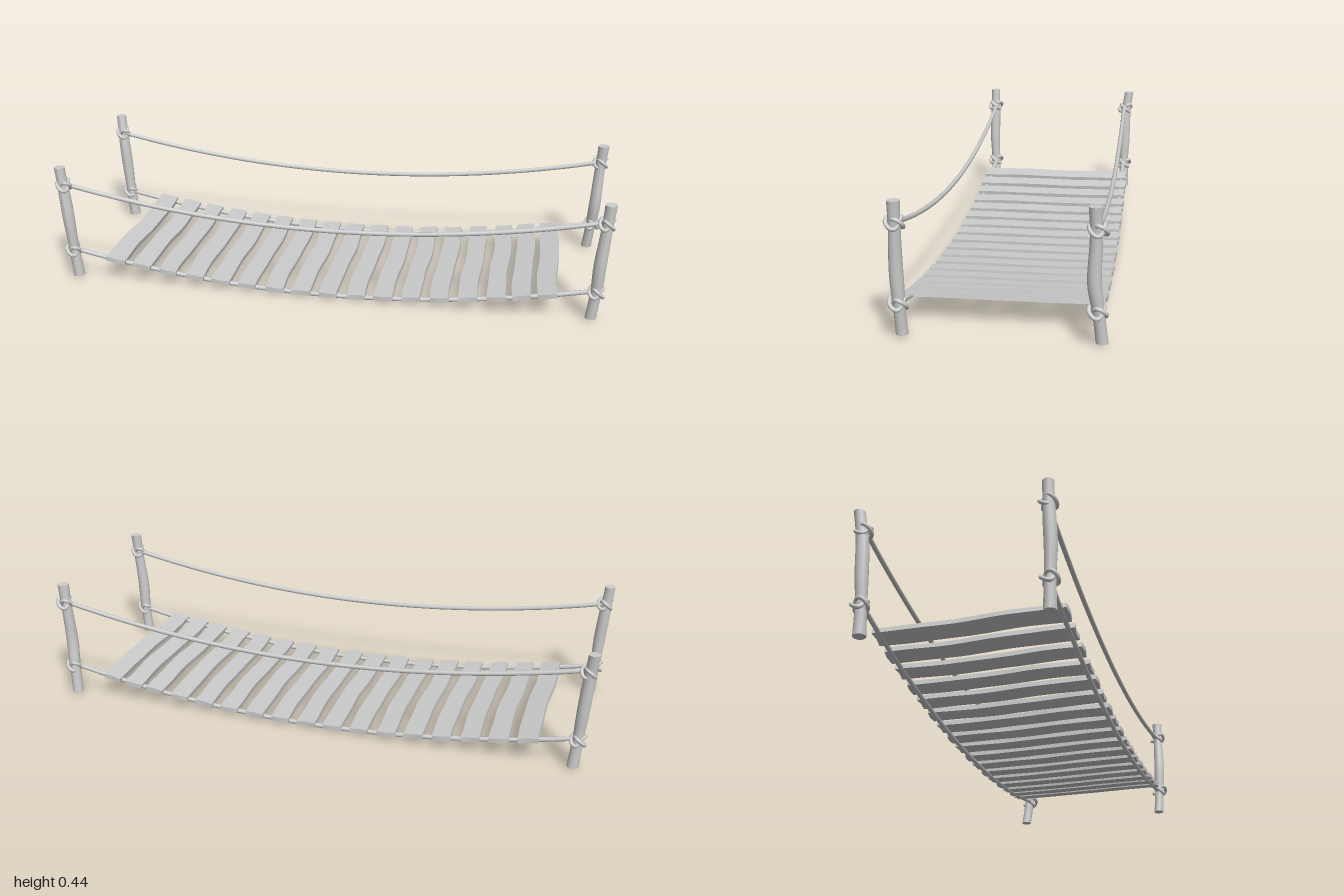
import * as THREE from 'three';

const mat = new THREE.MeshStandardMaterial({ color: 0xcccccc });
const ROPE_Z = 0.295;
const END_X = 0.962;

function add(parent, name, geometry) {
  const mesh = new THREE.Mesh(geometry, mat);
  mesh.name = name;
  parent.add(mesh);
  return mesh;
}

// Height of a sagging rope at x
const sag = (x, low) => low + 0.107 * (x / END_X) ** 2;

// Gnarled post: a cylinder bent along a curve through [x, y, z] points
function postGeometry(points) {
  const curve = new THREE.CatmullRomCurve3(points.map(p => new THREE.Vector3(...p)));
  const geo = new THREE.CylinderGeometry(1, 1, 1, 14, 16);
  const pos = geo.attributes.position;
  for (let i = 0; i < pos.count; i++) {
    const t = THREE.MathUtils.clamp(pos.getY(i) + 0.5, 0, 1);
    const c = curve.getPoint(t);
    const r = 0.0205 + 0.0015 * Math.sin(t * 9 + points[0][0] * 4);
    pos.setXYZ(i, c.x + pos.getX(i) * r, c.y, c.z + pos.getZ(i) * r);
  }
  geo.computeVertexNormals();
  return geo;
}

// Hitch: one cord going twice round the post, crossing itself
class Hitch extends THREE.Curve {
  getPoint(t, target = new THREE.Vector3()) {
    const a = t * Math.PI * 2;
    const r = 0.0215 + 0.0065 * Math.cos(3 * a);
    return target.set(0.9 * r * Math.cos(2 * a), 0.016 * Math.sin(3 * a), r * Math.sin(2 * a));
  }
}

// Rough-sawn plank with wavy long edges and slightly chipped ends
function plankGeometry(width, seed) {
  const geo = new THREE.BoxGeometry(width, 0.017, 0.632, 2, 1, 14);
  const pos = geo.attributes.position;
  for (let i = 0; i < pos.count; i++) {
    const x = pos.getX(i), z = pos.getZ(i);
    const side = Math.sign(x);
    const bend = 0.004 * Math.sin(z * 11 + 2.6 + 0.25 * Math.sin(seed * 2.3));
    const edge = side * 0.0015 * Math.sin(z * 24 + seed * 1.9 + side);
    const chip = Math.abs(z) > 0.31 ? 0.003 * Math.sin(seed * 3.1 + side * 2 + z * 5) : 0;
    pos.setXYZ(i, x + bend + edge, pos.getY(i), z + Math.sign(z) * chip);
  }
  geo.computeVertexNormals();
  return geo;
}

export function createModel() {
  const group = new THREE.Group();
  group.name = 'ropeBridge';

  // Four leaning posts, bottom to top
  const posts = {
    frontLeftPost: [[0.94, 0.008, 0.294], [0.951, 0.12, 0.299], [0.955, 0.22, 0.303], [0.965, 0.34, 0.301], [0.972, 0.437, 0.3]],
    backLeftPost: [[0.94, 0.008, -0.313], [0.951, 0.12, -0.3], [0.957, 0.2, -0.289], [0.963, 0.34, -0.293], [0.97, 0.437, -0.291]],
    frontRightPost: [[-0.942, 0.008, 0.296], [-0.951, 0.12, 0.299], [-0.957, 0.22, 0.303], [-0.967, 0.34, 0.301], [-0.976, 0.437, 0.301]],
    backRightPost: [[-0.942, 0.008, -0.3], [-0.951, 0.12, -0.298], [-0.957, 0.2, -0.3], [-0.967, 0.34, -0.303], [-0.976, 0.437, -0.315]],
  };
  for (const [name, points] of Object.entries(posts)) add(group, name, postGeometry(points));

  // Handrail and deck ropes, knotted to the posts at both ends
  const knotGeo = new THREE.TubeGeometry(new Hitch(), 90, 0.0068, 8, true);
  for (const z of [ROPE_Z, -ROPE_Z]) {
    for (const [name, low, end] of [['handRope', 0.262, 0.965], ['deckRope', 0.0085, 0.953]]) {
      const pts = [];
      for (let i = 0; i <= 16; i++) {
        const x = end * (i / 8 - 1);
        pts.push(new THREE.Vector3(x, sag(x, low), z));
      }
      add(group, name, new THREE.TubeGeometry(new THREE.CatmullRomCurve3(pts), 64, 0.0085, 8));
      for (const s of [1, -1]) {
        const knot = add(group, name + 'Knot', knotGeo);
        knot.position.set(s * end, sag(end, low) - 0.003, z * 1.015);
        knot.rotation.y = s > 0 ? Math.PI : 0;
      }
    }
  }

  // Deck planks following the sag, the last two set a little closer
  for (let i = 0; i < 17; i++) {
    const x = -0.785 + 0.1 * i - 0.013 * Math.max(0, i - 14);
    const plank = add(group, 'plank', plankGeometry(i === 0 ? 0.071 : 0.066 + 0.0015 * Math.sin(i * 2.1), i));
    plank.position.set(x, sag(x, 0.0085) + 0.009 - 0.006 * x * x, 0);
    plank.rotation.z = Math.atan(2 * 0.107 * x / END_X ** 2);
  }
  return group;
}
